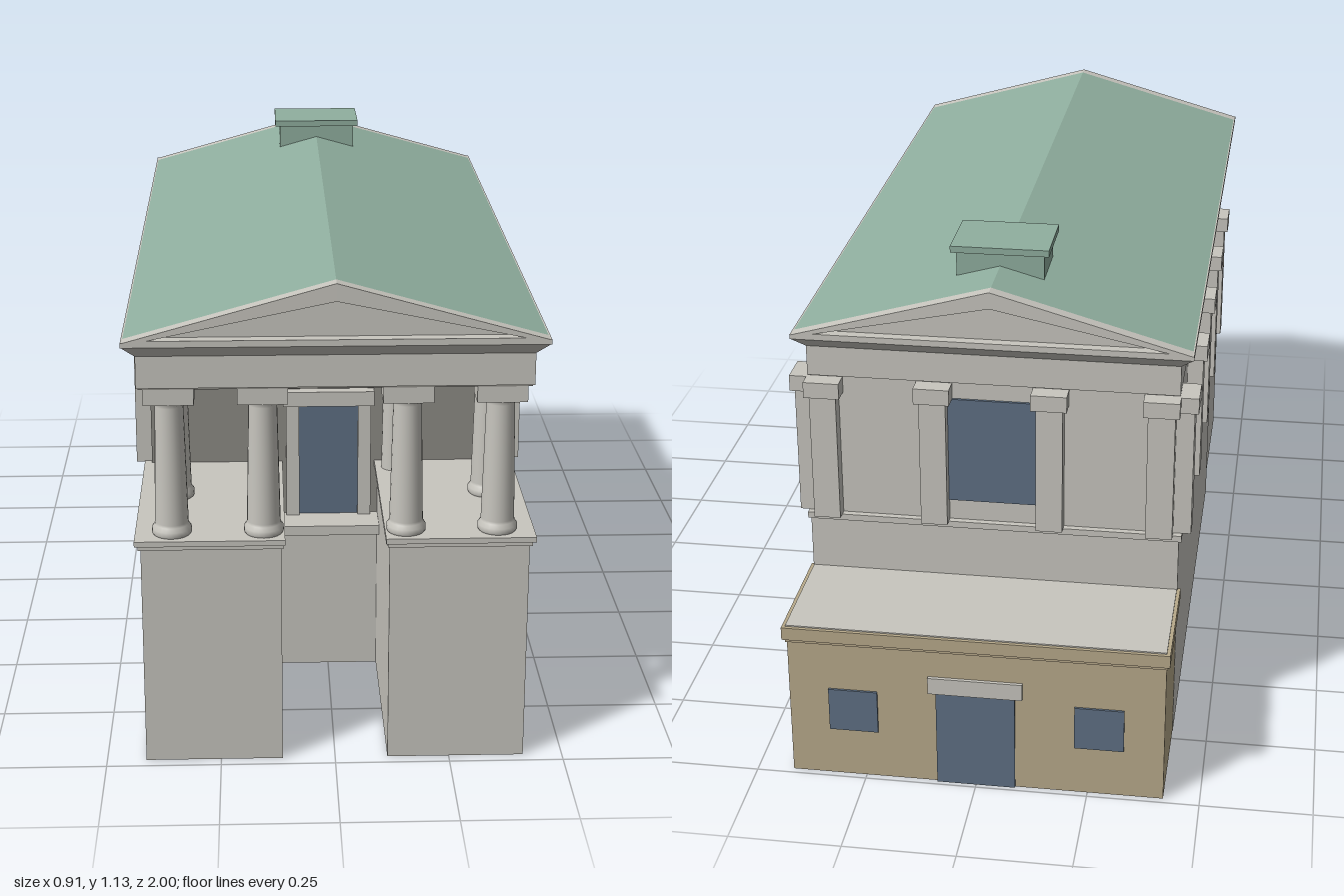
import * as THREE from 'three';

const mat = (name, color, side = THREE.FrontSide) => {
  const m = new THREE.MeshStandardMaterial({ color, side });
  m.name = name;
  return m;
};

export function createModel() {
  const root = new THREE.Group();
  root.name = 'temple';
  const stone = mat('stone', 0xc8c6bf, THREE.DoubleSide);
  const shade = mat('shadedStone', 0x8e8c86);
  const tan = mat('tanStone', 0xb8aa8b, THREE.DoubleSide);
  const glass = mat('blueGlass', 0x5f7084);
  const green = mat('greenRoof', 0x90af9f);

  const add = (name, geo, m) => {
    const mesh = new THREE.Mesh(geo, m);
    mesh.name = name;
    root.add(mesh);
    return mesh;
  };
  // Box given by its limits; omit lists faces to leave open (0 +x, 1 -x, 2 +y, 3 -y, 4 +z, 5 -z)
  const box = (name, m, x0, x1, y0, y1, z0, z1, omit = []) => {
    const g = new THREE.BoxGeometry(x1 - x0, y1 - y0, z1 - z0);
    g.translate((x0 + x1) / 2, (y0 + y1) / 2, (z0 + z1) / 2);
    if (omit.length) {
      g.setIndex(Array.from(g.index.array).filter((_, i) => !omit.includes(Math.floor(i / 6))));
      g.clearGroups();
    }
    return add(name, g, m);
  };
  // Same box on the left and right
  const pair = (name, m, x0, x1, ...rest) => {
    box(name + 'Left', m, x0, x1, ...rest);
    box(name + 'Right', m, -x1, -x0, ...rest);
  };

  // Hollow basement and hall above it
  box('basement', stone, -0.42, 0.42, 0, 0.51, -0.72, 0.51, [2, 3]);
  box('hall', stone, -0.41, 0.41, 0.505, 0.86, -0.71, 0.51, [3, 4]);
  pair('sideBand', stone, 0.405, 0.426, 0.505, 0.52, -0.725, 0.51);
  box('backBand', stone, -0.405, 0.405, 0.505, 0.52, -0.725, -0.705);

  // Porch piers with stepped slabs
  pair('porchPier', stone, 0.115, 0.414, 0, 0.502, 0.51, 0.974, [3, 5]);
  pair('porchSlabLower', stone, 0.111, 0.42, 0.5, 0.511, 0.5, 0.978);
  pair('porchSlabUpper', stone, 0.107, 0.427, 0.51, 0.522, 0.5, 0.984);

  // Porch wall, ceiling and doorway
  box('porchWall', shade, -0.41, 0.41, 0.39, 0.86, 0.506, 0.514);
  box('porchCeiling', shade, -0.41, 0.41, 0.856, 0.862, 0.514, 0.968);
  box('doorSill', stone, -0.115, 0.115, 0.37, 0.393, 0.505, 0.6);
  box('frontDoor', glass, -0.069, 0.069, 0.393, 0.666, 0.514, 0.52);
  pair('doorJamb', stone, 0.068, 0.098, 0.393, 0.666, 0.514, 0.53);
  box('doorLintel', stone, -0.105, 0.105, 0.665, 0.7, 0.514, 0.54);
  box('transomWindow', glass, -0.145, 0.145, 0.73, 0.82, 0.514, 0.519);

  // Round columns: swelling base, tapered shaft, plain capital block
  const column = (x, y, z, r) => {
    const p = [[0, 0], [1.1, 0], [1.18, 0.006], [1.18, 0.016], [1.02, 0.024], [1, 0.03]]
      .map(([a, b]) => new THREE.Vector2(a * r, y + b));
    p.push(new THREE.Vector2(r * 0.84, 0.81), new THREE.Vector2(r * 0.98, 0.822));
    add('column', new THREE.LatheGeometry(p, 24), stone).position.set(x, 0, z);
    box('columnCapital', stone, x - 0.053, x + 0.053, 0.82, 0.86, z - r, z + r);
  };
  for (const s of [-1, 1]) {
    column(s * 0.348, 0.52, 0.93, 0.036);
    column(s * 0.152, 0.52, 0.93, 0.036);
    column(s * 0.348, 0.52, 0.715, 0.036);
    column(s * 0.152, 0.39, 0.555, 0.032);
  }

  // Pilasters along the sides and the back
  for (const z of [0.47, 0.182, -0.103, -0.392, -0.68]) {
    pair('sidePilaster', stone, 0.4, 0.446, 0.52, 0.822, z - 0.03, z + 0.03);
    pair('sidePilasterCapital', stone, 0.4, 0.455, 0.82, 0.857, z - 0.04, z + 0.04);
  }
  for (const x of [0.13, 0.376]) {
    pair('backPilaster', stone, x - 0.03, x + 0.03, 0.52, 0.822, -0.744, -0.7);
    pair('backPilasterCapital', stone, x - 0.04, x + 0.04, 0.82, 0.857, -0.753, -0.7);
  }
  box('backWindow', glass, -0.105, 0.105, 0.57, 0.82, -0.716, -0.709);

  // Entablature and flaring cornice
  box('entablature', stone, -0.414, 0.414, 0.86, 0.932, -0.716, 0.972);
  const flare = box('cornice', stone, -0.44, 0.44, 0.93, 0.957, -0.746, 1.0);
  const fp = flare.geometry.attributes.position;
  for (let i = 0; i < fp.count; i++) {
    if (fp.getY(i) < 0.94) {
      fp.setX(i, Math.sign(fp.getX(i)) * 0.414);
      fp.setZ(i, fp.getZ(i) > 0 ? 0.972 : -0.716);
    }
  }
  flare.geometry.computeVertexNormals();
  box('eavesSlab', stone, -0.442, 0.442, 0.957, 0.967, -0.746, 1.0);

  // Gabled roof with recessed pediments at both ends
  const triangle = (C, w, y0, y1) => {
    const t = new C();
    t.moveTo(-w, y0); t.lineTo(w, y0); t.lineTo(0, y1); t.closePath();
    return t;
  };
  const prism = (name, shape, z0, z1, m) => {
    const g = new THREE.ExtrudeGeometry(shape, { depth: z1 - z0, bevelEnabled: false });
    add(name, g.translate(0, 0, z0), m);
  };
  const gable = () => triangle(THREE.Shape, 0.442, 0.966, 1.09);
  const frame = gable();
  frame.holes.push(triangle(THREE.Path, 0.39, 0.971, 1.052));
  prism('roof', gable(), -0.716, 0.968, green);
  prism('frontTympanum', gable(), 0.968, 0.974, stone);
  prism('frontPedimentFrame', frame, 0.974, 1.0, stone);
  prism('backTympanum', gable(), -0.722, -0.716, stone);
  prism('backPedimentFrame', frame, -0.746, -0.722, stone);

  // Roof vent
  box('roofVent', green, -0.098, 0.098, 1.05, 1.122, -0.587, -0.437);
  box('roofVentCap', green, -0.11, 0.11, 1.12, 1.135, -0.598, -0.427);

  // Rear annex with capped flat roof
  box('annex', tan, -0.419, 0.419, 0, 0.345, -0.985, -0.72, [3, 4]);
  box('annexMoulding', tan, -0.422, 0.422, 0.337, 0.349, -0.99, -0.719, [3, 4]);
  box('annexCap', tan, -0.427, 0.427, 0.348, 0.378, -1.0, -0.71);
  box('annexRoof', stone, -0.419, 0.419, 0.375, 0.381, -0.992, -0.715);
  box('annexDoor', glass, -0.088, 0.088, 0, 0.235, -0.99, -0.984);
  box('annexDoorLintel', stone, -0.105, 0.105, 0.232, 0.272, -0.993, -0.984);
  pair('annexWindow', glass, 0.22, 0.33, 0.118, 0.222, -0.99, -0.984);

  return root;
}
